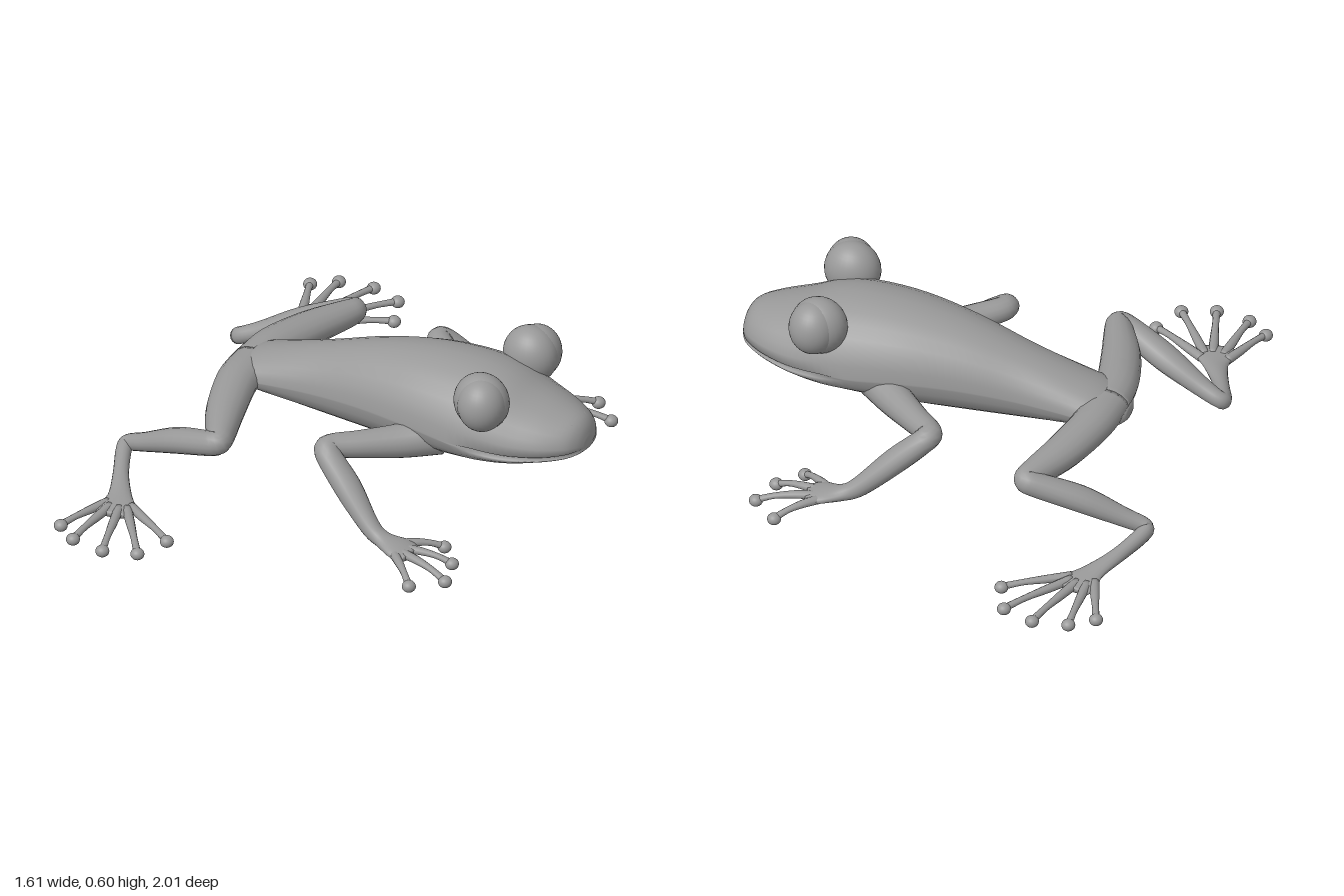
import * as THREE from 'three';

const skin = new THREE.MeshStandardMaterial({ color: 0x999999 });
skin.name = 'grey skin';

// Smooth interpolation through rows of numbers
function spline(rows, steps) {
  const out = [];
  const at = i => rows[Math.min(Math.max(i, 0), rows.length - 1)];
  for (let i = 0; i < rows.length - 1; i++) {
    for (let s = 0; s < steps; s++) {
      const t = s / steps;
      out.push(rows[i].map((b, k) => {
        const a = at(i - 1)[k], c = at(i + 1)[k], d = at(i + 2)[k];
        return b + 0.5 * t * (c - a + t * (2 * a - 5 * b + 4 * c - d + t * (3 * (b - c) + d - a)));
      }));
    }
  }
  out.push(rows[rows.length - 1]);
  return out;
}

// Skin a list of closed rings of points and cap both ends
function loft(rings) {
  const n = rings[0].length, last = (rings.length - 1) * n;
  const points = rings.flat(), index = [];
  const middle = ring => ring.reduce((m, p) => m.addScaledVector(p, 1 / n), new THREE.Vector3());
  points.push(middle(rings[0]), middle(rings[rings.length - 1]));
  for (let j = 0; j < n; j++) {
    const k = (j + 1) % n;
    for (let i = 0; i < last; i += n) {
      index.push(i + j, i + n + j, i + k, i + k, i + n + j, i + n + k);
    }
    index.push(points.length - 2, j, k, points.length - 1, last + k, last + j);
  }
  const g = new THREE.BufferGeometry().setFromPoints(points);
  g.setIndex(index);
  g.computeVertexNormals();
  return g;
}

// Tapering limb; rows are x, y, z, half width, half height
function limbGeometry(rows, steps, sides) {
  const path = spline(rows, steps), up = new THREE.Vector3(0, 1, 0);
  const pos = path.map(p => new THREE.Vector3(p[0], p[1], p[2]));
  return loft(path.map((p, i) => {
    const dir = pos[Math.min(i + 1, pos.length - 1)].clone().sub(pos[Math.max(i - 1, 0)]).normalize();
    const side = dir.clone().cross(up).normalize();
    const top = side.clone().cross(dir);
    return Array.from({ length: sides }, (_, j) => {
      const a = j / sides * Math.PI * 2;
      return pos[i].clone().addScaledVector(side, Math.cos(a) * p[3]).addScaledVector(top, Math.sin(a) * p[4]);
    });
  }));
}

// Body sections: x, top, bottom, half width, widest height, mouth depth
const BODY = [
  [-0.575, 0.27, 0.235, 0.04, 0.25, 0], [-0.55, 0.295, 0.228, 0.09, 0.255, 0],
  [-0.48, 0.335, 0.22, 0.125, 0.265, 0], [-0.38, 0.37, 0.2, 0.128, 0.28, 0],
  [-0.2, 0.43, 0.183, 0.138, 0.3, 0], [0, 0.495, 0.18, 0.175, 0.325, 0],
  [0.2, 0.533, 0.187, 0.215, 0.335, 0], [0.38, 0.54, 0.208, 0.235, 0.325, 0],
  [0.5, 0.52, 0.228, 0.23, 0.318, 0.02], [0.6, 0.475, 0.25, 0.21, 0.314, 0.025],
  [0.7, 0.443, 0.28, 0.17, 0.315, 0.025], [0.77, 0.418, 0.297, 0.12, 0.317, 0.022],
  [0.8, 0.388, 0.303, 0.075, 0.318, 0.018], [0.812, 0.35, 0.308, 0.035, 0.319, 0.01],
];

function bodyGeometry() {
  const half = 14;
  return loft(spline(BODY, 4).map(([x, top, bottom, w, mid, depth]) => {
    const cut = Math.max(0, depth), gap = Math.min(0.006, cut * 0.4), ring = [];
    for (const s of [1, -1]) {
      // Mouth crease, then the upper or lower arc
      ring.push(new THREE.Vector3(x, mid, s * (w - cut)));
      for (let j = 0; j <= half; j++) {
        const a = 0.02 + j / half * (Math.PI - 0.04);
        const h = s > 0 ? top - mid - gap : mid - gap - bottom;
        ring.push(new THREE.Vector3(x, mid + s * (gap + Math.sin(a) * h), s * Math.cos(a) * w));
      }
    }
    return ring;
  }));
}

const HIND_LEG = [
  [-0.49, 0.275, 0, 0.08, 0.055], [-0.485, 0.272, 0.13, 0.075, 0.06],
  [-0.44, 0.26, 0.3, 0.069, 0.058], [-0.385, 0.252, 0.44, 0.053, 0.05],
  [-0.367, 0.25, 0.49, 0.043, 0.044], [-0.4, 0.238, 0.495, 0.044, 0.044],
  [-0.55, 0.18, 0.447, 0.052, 0.045], [-0.69, 0.115, 0.413, 0.036, 0.034],
  [-0.765, 0.083, 0.4, 0.028, 0.03], [-0.768, 0.07, 0.43, 0.028, 0.03],
  [-0.72, 0.048, 0.54, 0.028, 0.025], [-0.665, 0.035, 0.65, 0.042, 0.018],
  [-0.64, 0.03, 0.72, 0.072, 0.014], [-0.63, 0.028, 0.765, 0.06, 0.01],
];
const FRONT_LEG = [
  [0.3, 0.28, 0.13, 0.07, 0.07], [0.2, 0.275, 0.22, 0.062, 0.06],
  [0.09, 0.285, 0.325, 0.05, 0.048], [0.02, 0.292, 0.39, 0.045, 0.042],
  [0.025, 0.28, 0.425, 0.045, 0.042], [0.12, 0.195, 0.46, 0.05, 0.044],
  [0.23, 0.095, 0.505, 0.035, 0.035], [0.29, 0.065, 0.52, 0.036, 0.026],
  [0.36, 0.055, 0.53, 0.062, 0.02], [0.41, 0.048, 0.537, 0.05, 0.013],
];
// Toes: base x, z and tip x, z
const HIND_TOES = [
  [-0.685, 0.7, -0.76, 0.9], [-0.665, 0.72, -0.68, 0.96], [-0.63, 0.72, -0.555, 0.98],
  [-0.605, 0.71, -0.44, 0.94], [-0.6, 0.69, -0.39, 0.82],
];
const FRONT_TOES = [
  [0.35, 0.56, 0.48, 0.685], [0.37, 0.545, 0.575, 0.6],
  [0.36, 0.52, 0.54, 0.485], [0.34, 0.5, 0.465, 0.4],
];

export function createModel() {
  const model = new THREE.Group();
  const add = (name, geometry, parent = model) => {
    const mesh = new THREE.Mesh(geometry, skin);
    mesh.name = name;
    parent.add(mesh);
    return mesh;
  };

  add('body', bodyGeometry());

  const ball = new THREE.SphereGeometry(1, 28, 20);
  for (const s of [1, -1]) {
    const side = s > 0 ? 'left' : 'right';

    // Bulging eyes in their lids
    const lid = add(side + 'Eyelid', ball);
    lid.position.set(0.49, 0.495, s * 0.178);
    lid.scale.set(0.1, 0.104, 0.085);
    const eye = add(side + 'Eye', ball);
    eye.position.set(0.503, 0.497, s * 0.2);
    eye.scale.set(0.086, 0.097, 0.086);

    // Nostril rim
    const nostril = add(side + 'Nostril', new THREE.TorusGeometry(0.008, 0.003, 6, 14));
    nostril.position.set(0.772, 0.402, s * 0.052);
    nostril.lookAt(1.3, 0.95, s * 0.35);

    // Legs with knobbed toes
    const legs = [['HindLeg', HIND_LEG, HIND_TOES, 0.03], ['FrontLeg', FRONT_LEG, FRONT_TOES, 0.052]];
    for (const [name, rows, toes, height] of legs) {
      const leg = new THREE.Group();
      leg.name = side + name;
      model.add(leg);
      add('limb', limbGeometry(rows.map(([x, y, z, w, h]) => [x, y, s * z, w, h]), 5, 16), leg);
      for (const [x0, z0, x1, z1] of toes) {
        const along = (t, y, r) => [x0 + (x1 - x0) * t, y, s * (z0 + (z1 - z0) * t), r, r * 0.9];
        add('toe', limbGeometry([
          along(0, height, 0.018), along(0.35, height, 0.016),
          along(0.7, height * 0.6 + 0.012, 0.012), along(1, 0.023, 0.014),
        ], 4, 10), leg);
        const pad = add('toePad', ball, leg);
        pad.position.set(x1, 0.021, s * z1);
        pad.scale.set(0.024, 0.021, 0.024);
      }
    }
  }
  return model;
}
